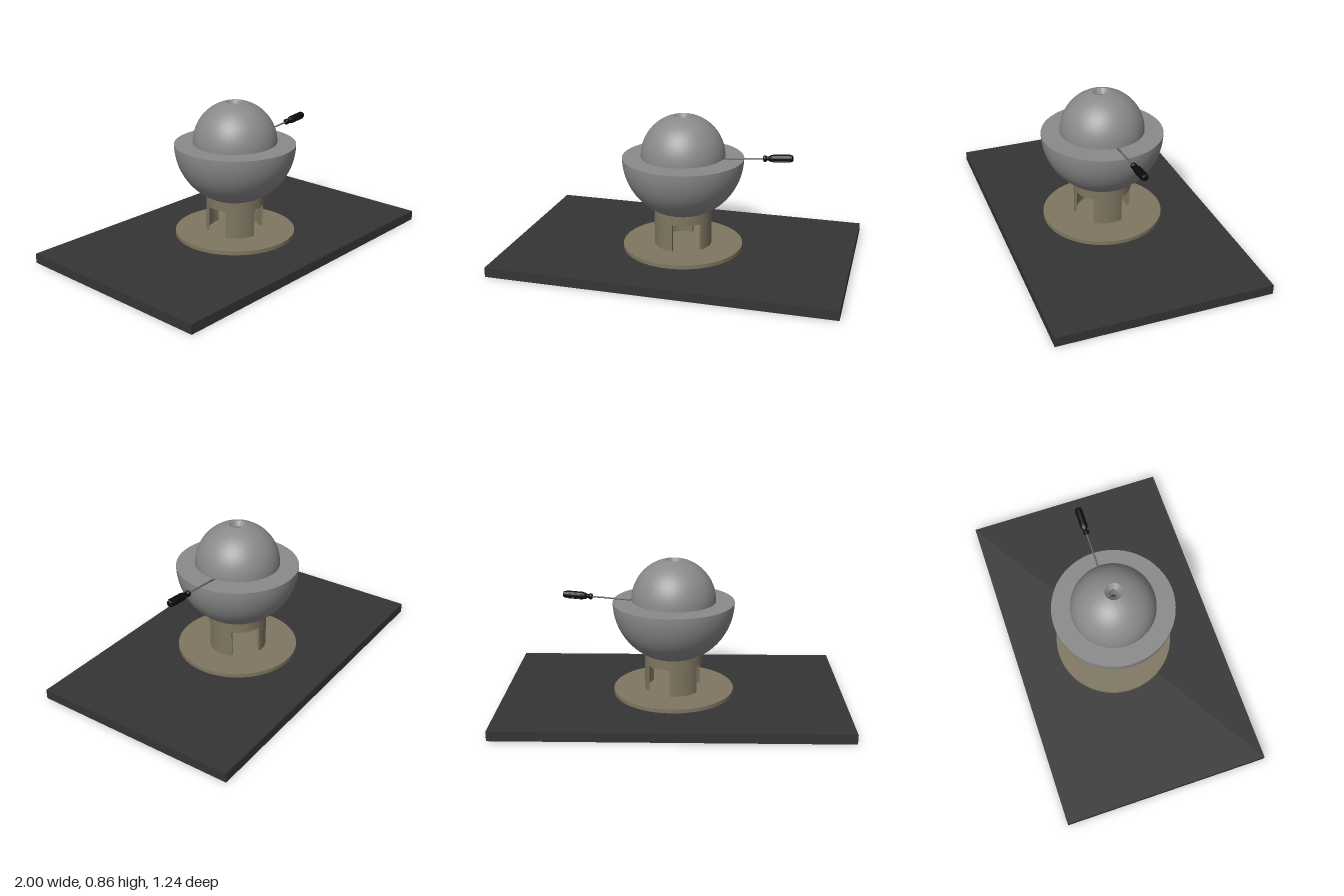
import * as THREE from 'three';
import { toCreasedNormals } from 'three/addons/utils/BufferGeometryUtils.js';

const material = (name, color) => {
  const m = new THREE.MeshStandardMaterial({ color });
  m.name = name;
  return m;
};

// Revolved solid with sharp profile corners; points run from bottom to top
const lathe = (points, segments = 96) =>
  toCreasedNormals(new THREE.LatheGeometry(points.map(([r, y]) => new THREE.Vector2(r, y)), segments), 0.5);

// Points on a circle arc, angles measured up from the horizontal
const arc = (radius, from, to, steps = 28) =>
  Array.from({ length: steps + 1 }, (_, i) => {
    const a = from + ((to - from) * i) / steps;
    return [radius * Math.cos(a), radius * Math.sin(a)];
  });

// Curved wall: a sector of a ring, hanging down from y = 0
function ringWall(outer, inner, from, to, height) {
  const shape = new THREE.Shape();
  shape.absarc(0, 0, outer, from, to, false);
  shape.absarc(0, 0, inner, to, from, true);
  const geo = new THREE.ExtrudeGeometry(shape, { depth: height, bevelEnabled: false, curveSegments: 32 });
  return toCreasedNormals(geo.rotateX(Math.PI / 2), 0.5);
}

export function createModel() {
  const model = new THREE.Group();
  const charcoal = material('charcoal', 0x353535);
  const beige = material('beige', 0x7f7661);
  const grey = material('grey metal', 0x8a8a8a);
  const steel = material('steel', 0x606060);
  const black = material('black', 0x0c0c0c);

  const add = (name, geo, mat, parent = model, x = 0, y = 0, z = 0) => {
    const mesh = new THREE.Mesh(geo, mat);
    mesh.name = name;
    mesh.position.set(x, y, z);
    parent.add(mesh);
    return mesh;
  };

  // Table slab and stand
  add('tableSlab', new THREE.BoxGeometry(2, 0.056, 1.236), charcoal, model, 0, 0.028);
  const stand = new THREE.Group();
  stand.name = 'stand';
  model.add(stand);
  add('standBase', new THREE.CylinderGeometry(0.355, 0.355, 0.024, 96), beige, stand, 0, 0.067);
  add('standCollar', lathe([[0.154, 0.242], [0.17, 0.242], [0.17, 0.297], [0.154, 0.297], [0.154, 0.242]]), beige, stand);
  for (let i = 0; i < 3; i++) {
    const start = THREE.MathUtils.degToRad(-23 + i * 120);
    add('standLeg', ringWall(0.17, 0.154, start, start + Math.PI / 3, 0.164), beige, stand, 0, 0.242);
  }

  // Lower bowl: a solid half ball with a flat foot and rim
  const bowlFoot = -Math.acos(0.164 / 0.355);
  add('lowerBowl', lathe([[0, 0.355 * Math.sin(bowlFoot)], ...arc(0.355, bowlFoot, 0), [0, 0]]), grey, model, 0, 0.611);
  add('innerDisc', new THREE.CylinderGeometry(0.17, 0.17, 0.008, 64), grey, model, 0, 0.614);

  // Upper dome, propped open on one side, with a stepped hole at its crown
  const dome = new THREE.Group();
  dome.name = 'upperDome';
  dome.position.y = 0.618;
  dome.rotation.z = 0.018;
  model.add(dome);
  const crown = Math.acos(0.05 / 0.246);
  add('domeShell', lathe([
    [0, 0], ...arc(0.246, 0, crown), [0.032, 0.222], [0.024, 0.215], [0.024, 0.13],
  ]), grey, dome);
  add('holeFloor', new THREE.CircleGeometry(0.025, 32).rotateX(-Math.PI / 2), charcoal, dome, 0, 0.131);

  // Screwdriver wedged under the dome, built along +x
  const driver = new THREE.Group();
  driver.name = 'screwdriver';
  driver.position.set(0.23, 0.616, -0.005);
  driver.rotation.z = 0.085;
  model.add(driver);
  add('blade', new THREE.BoxGeometry(0.05, 0.005, 0.012), steel, driver, 0.02);
  add('shaft', new THREE.CylinderGeometry(0.0045, 0.0045, 0.22, 16).rotateZ(Math.PI / 2), steel, driver, 0.14);

  const grip = lathe([
    [0, 0], [0.013, 0], [0.018, 0.005], [0.018, 0.014], [0.012, 0.022], [0.012, 0.03],
    [0.019, 0.042], [0.021, 0.06], [0.021, 0.15], [0.018, 0.166], [0.012, 0.17], [0, 0.17],
  ], 24);
  add('handle', grip.rotateZ(-Math.PI / 2), black, driver, 0.242);
  // Raised ribs around the handle
  for (let i = 0; i < 8; i++) {
    const a = (i * Math.PI) / 4;
    const rib = add('handleRib', new THREE.BoxGeometry(0.1, 0.004, 0.007), black, driver,
      0.348, Math.cos(a) * 0.0205, Math.sin(a) * 0.0205);
    rib.rotation.x = a;
  }
  return model;
}
